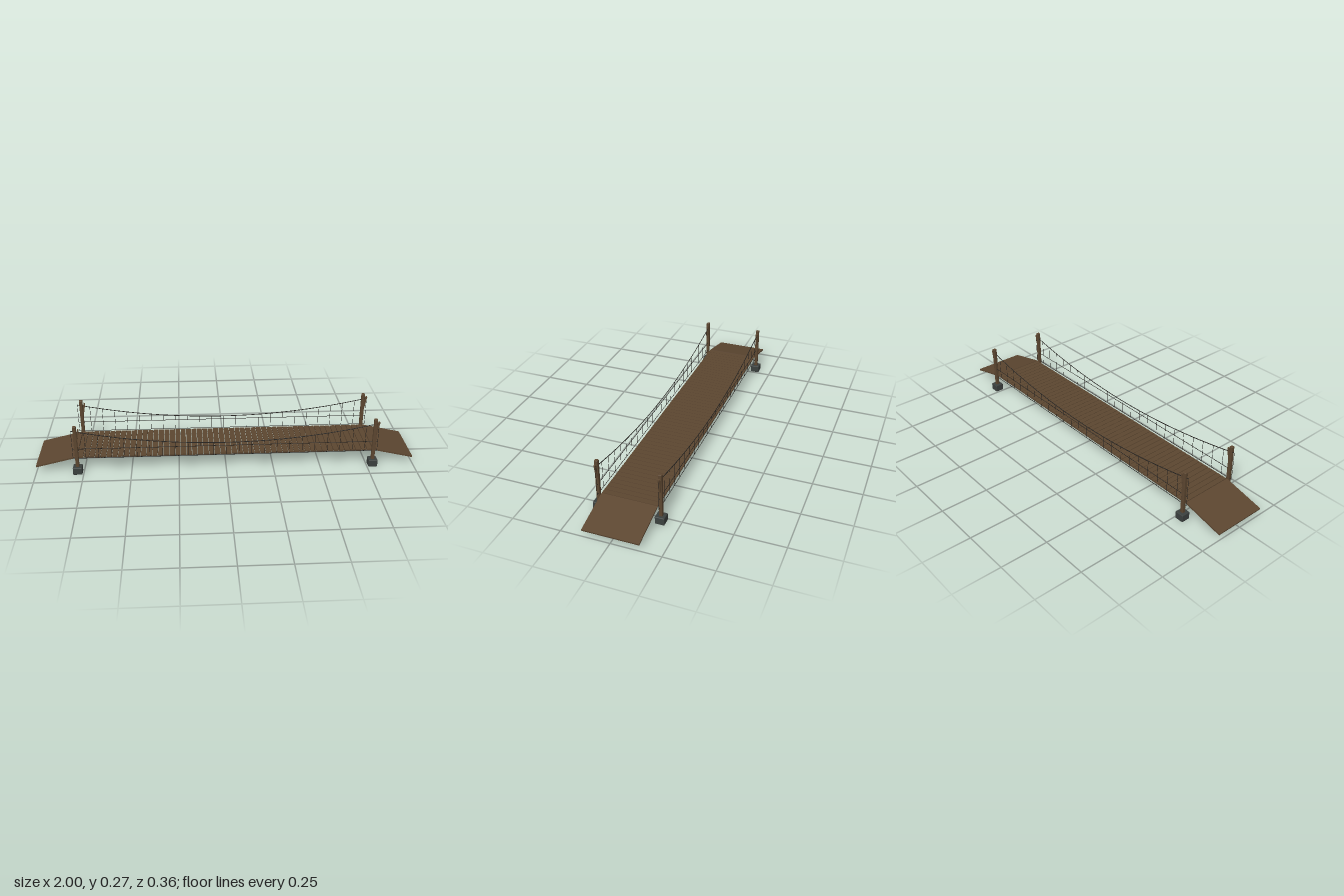
import * as THREE from 'three';
import { RoundedBoxGeometry } from 'three/addons/geometries/RoundedBoxGeometry.js';

const mat = (color) => new THREE.MeshStandardMaterial({ color });

export function createModel() {
  const wood = mat(0x5c4630), stone = mat(0x3b403e), rope = mat(0x24221f);
  const bridge = new THREE.Group();
  bridge.name = 'suspensionBridge';

  const add = (name, geometry, material, x, y, z, tilt = 0) => {
    const mesh = new THREE.Mesh(geometry, material);
    mesh.name = name;
    mesh.position.set(x, y, z);
    mesh.rotation.z = tilt;
    bridge.add(mesh);
    return mesh;
  };

  const postX = 0.78, sideZ = 0.158, endX = 0.8, deckY = 0.084;
  const cableY = (x) => 0.157 + 0.088 * (x / endX) ** 2;

  // Deck planks, laid across the span with narrow gaps
  const count = 52, pitch = (2 * postX) / count;
  const plank = new THREE.BoxGeometry(pitch - 0.003, 0.008, 0.284);
  for (let i = 0; i < count; i++) {
    add('plank', plank, wood, -postX + (i + 0.5) * pitch, deckY, 0);
  }

  // Sloping ramps at both ends
  const rise = 0.051, run = 0.217;
  const ramp = new THREE.BoxGeometry(Math.hypot(rise, run), 0.008, 0.284);
  for (const s of [-1, 1]) {
    add('ramp', ramp, wood, s * 0.8905, 0.0595, 0, -s * Math.atan2(rise, run));
  }

  // Posts on stone footings, each with a slanted brace near the top
  const footing = new RoundedBoxGeometry(0.048, 0.04, 0.048, 2, 0.004);
  const post = new RoundedBoxGeometry(0.018, 0.237, 0.018, 2, 0.003);
  const brace = new THREE.BoxGeometry(0.009, 0.09, 0.009);
  for (const x of [-postX, postX]) {
    for (const z of [-sideZ, sideZ]) {
      add('footing', footing, stone, x, 0.02, z);
      add('post', post, wood, x, 0.1535, z);
      add('brace', brace, wood, x + 0.011, 0.21, z, -0.18);
    }
  }

  // Sagging main cables, straight ropes and vertical hangers on both sides
  const points = Array.from({ length: 25 }, (_, i) => {
    const x = -endX + (i * 2 * endX) / 24;
    return new THREE.Vector3(x, cableY(x), 0);
  });
  const cable = new THREE.TubeGeometry(new THREE.CatmullRomCurve3(points), 72, 0.002, 6);
  const line = new THREE.CylinderGeometry(0.0014, 0.0014, 2 * endX, 6);
  const hanger = new THREE.CylinderGeometry(0.001, 0.001, 1, 6);
  for (const z of [-0.156, 0.156]) {
    add('mainCable', cable, rope, 0, 0, z);
    add('handRope', line, rope, 0, 0.14, z, Math.PI / 2);
    add('deckRope', line, rope, 0, 0.086, z, Math.PI / 2);
    for (const p of points) {
      const h = p.y - 0.086;
      add('hanger', hanger, rope, p.x, 0.086 + h / 2, z).scale.y = h;
    }
  }
  return bridge;
}
